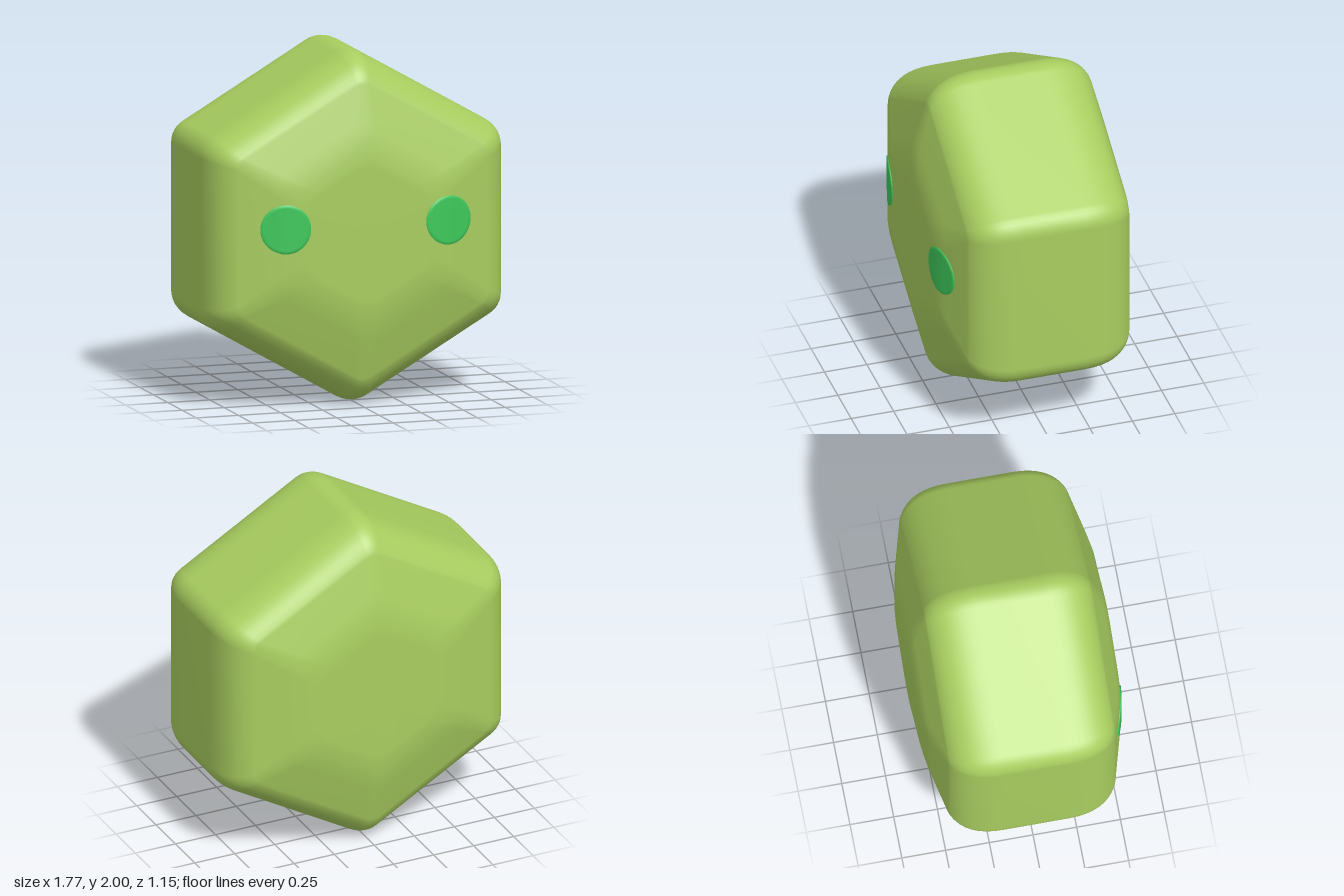
import * as THREE from 'three';

const CENTER_Y = 1, CENTER_Z = -0.006;

// Half profile: x = distance from the axis to a hexagon side, y = depth from the middle
function halfProfile() {
  const v = (x, y) => new THREE.Vector2(x, y);
  const edge = new THREE.QuadraticBezierCurve(v(0.885, 0.19), v(0.885, 0.40), v(0.76, 0.47)).getPoints(8);
  const dome = new THREE.QuadraticBezierCurve(v(0.56, 0.534), v(0.46, 0.567), v(0.35, 0.573)).getPoints(6);
  return [...edge, v(0.74, 0.479), ...dome];
}

// Corner radius: tight on the ridge, softer on the rim and the face
function cornerRadius(p) {
  return p.x > 0.76 ? THREE.MathUtils.mapLinear(p.x, 0.76, 0.885, 0.08, 0.14)
    : THREE.MathUtils.mapLinear(p.x, 0.76, 0.35, 0.08, 0.16);
}

// Rounded hexagon with a corner at the top, as a loop of points
function hexLoop(apothem, r, z) {
  const pts = [], steps = 6, d = (apothem - r) / Math.cos(Math.PI / 6);
  for (let k = 0; k < 6; k++) {
    const a = Math.PI / 6 + k * Math.PI / 3;
    for (let s = 0; s <= steps; s++) {
      const b = a + (s / steps - 0.5) * Math.PI / 3;
      pts.push([d * Math.cos(a) + r * Math.cos(b), d * Math.sin(a) + r * Math.sin(b), z]);
    }
  }
  return pts;
}

// Joins equal closed loops, running from back to front
function loft(loops, capBack) {
  const n = loops[0].length, pos = loops.flat(2), index = [];
  for (let i = 0; i < loops.length - 1; i++) {
    for (let j = 0; j < n; j++) {
      const a = i * n + j, b = i * n + (j + 1) % n;
      index.push(a, b, b + n, a, b + n, a + n);
    }
  }
  const cap = (first, flip) => {
    const c = pos.length / 3;
    pos.push(0, 0, pos[first * 3 + 2]);
    for (let j = 0; j < n; j++) {
      const a = first + j, b = first + (j + 1) % n;
      index.push(c, flip ? b : a, flip ? a : b);
    }
  };
  if (capBack) {
    cap(0, true);
    cap((loops.length - 1) * n, false);
  }
  const geo = new THREE.BufferGeometry();
  geo.setAttribute('position', new THREE.Float32BufferAttribute(pos, 3));
  geo.setIndex(index);
  geo.computeVertexNormals();
  return geo;
}

// Depth of the front surface at a given side distance
function surfaceDepth(profile, x) {
  for (let i = 1; i < profile.length; i++) {
    const p = profile[i - 1], q = profile[i];
    if (x >= q.x && x <= p.x) return p.y + (q.y - p.y) * (p.x - x) / (p.x - q.x || 1);
  }
  return profile[profile.length - 1].y;
}

// Thin round patch that follows the sloping face
function eyeGeometry(profile, cx, cy, radius) {
  const loops = [];
  for (let i = 0; i <= 9; i++) {
    const r = i === 0 ? radius : radius * (1 - (i - 1) / 8);
    const lift = i === 0 ? -0.002 : 0.007;
    const loop = [];
    for (let j = 0; j < 40; j++) {
      const a = j / 40 * Math.PI * 2;
      const x = cx + r * Math.cos(a), y = cy + r * Math.sin(a);
      loop.push([x, y, surfaceDepth(profile, Math.abs(x)) + lift]);
    }
    loops.push(loop);
  }
  return loft(loops, false);
}

export function createModel() {
  const model = new THREE.Group();
  model.name = 'roundedHexagonCreature';
  const bodyMat = new THREE.MeshStandardMaterial({ color: 0xa8cd5f });
  bodyMat.name = 'leafGreen';
  const eyeMat = new THREE.MeshStandardMaterial({ color: 0x3ec85a });
  eyeMat.name = 'emeraldGreen';

  const add = (name, geo, mat) => {
    const mesh = new THREE.Mesh(geo, mat);
    mesh.name = name;
    mesh.position.set(0, CENTER_Y, CENTER_Z);
    model.add(mesh);
  };

  // Body: hexagon sections, mirrored front to back
  const profile = halfProfile();
  const front = profile.map((p) => hexLoop(p.x, cornerRadius(p), p.y));
  const back = profile.map((p) => hexLoop(p.x, cornerRadius(p), -p.y)).reverse();
  add('body', loft([...back, ...front], true), bodyMat);

  // Eyes
  for (const side of [-1, 1]) {
    add(side > 0 ? 'leftEye' : 'rightEye', eyeGeometry(profile, side * 0.483, 0.053, 0.14), eyeMat);
  }
  return model;
}
